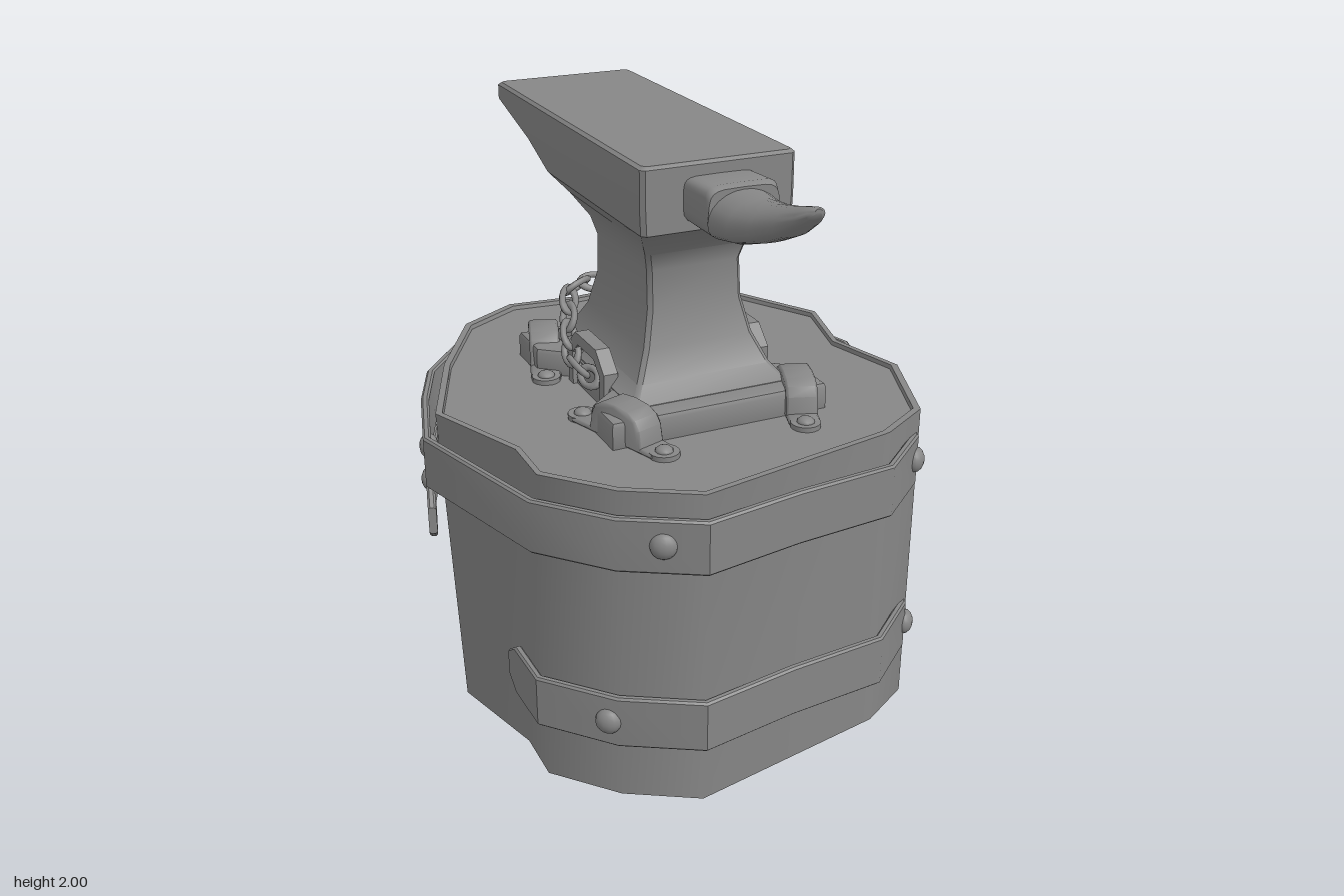
import * as THREE from 'three';
import { toCreasedNormals } from 'three/addons/utils/BufferGeometryUtils.js';

const V = (x, y, z) => new THREE.Vector3(x, y, z);
const material = new THREE.MeshStandardMaterial({ color: 0x868686, side: THREE.DoubleSide });

function add(parent, name, geometry, x = 0, y = 0, z = 0) {
  const mesh = new THREE.Mesh(geometry, material);
  mesh.name = name;
  mesh.position.set(x, y, z);
  parent.add(mesh);
  return mesh;
}

// Skin a row of equal-length loops, each counterclockwise about the direction of travel
function loft(loops, closed, crease) {
  const n = loops[0].length, m = loops.length, pts = loops.flat(), index = [];
  for (let i = 0; i < (closed ? m : m - 1); i++) {
    for (let j = 0; j < n; j++) {
      const k = (j + 1) % n, r = i * n, s = ((i + 1) % m) * n;
      index.push(r + j, r + k, s + k, r + j, s + k, s + j);
    }
  }
  if (!closed) {
    [0, m - 1].forEach((row) => {
      const centre = V(0, 0, 0);
      loops[row].forEach((p) => centre.addScaledVector(p, 1 / n));
      const c = pts.push(centre) - 1, r = row * n;
      for (let j = 0; j < n; j++) {
        const k = (j + 1) % n;
        index.push(c, r + (row ? j : k), r + (row ? k : j));
      }
    });
  }
  const g = new THREE.BufferGeometry().setFromPoints(pts);
  g.setIndex(index);
  return toCreasedNormals(g, crease);
}

// Plan outline of the stump, [x, z], counterclockwise from above
const stumpPlan = [
  [-0.82, -0.06], [-0.67, 0.3], [-0.67, 0.49], [-0.49, 0.69], [-0.26, 0.825], [0.46, 0.69],
  [0.65, 0.58], [0.785, 0.23], [0.71, -0.06], [0.785, -0.35], [0.58, -0.72], [0.27, -0.92],
  [0, -0.895], [-0.26, -0.92], [-0.48, -0.79], [-0.67, -0.45],
];

// Plan path shared by the iron bands, [x, z]
const bandPlan = [
  [-0.855, -0.06], [-0.69, 0.49], [-0.5, 0.7], [-0.26, 0.84], [0.08, 0.785], [0.43, 0.755],
  [0.62, 0.6], [0.84, 0.14], [0.79, -0.05], [0.835, -0.2], [0.75, -0.5], [0.58, -0.75],
  [0.3, -0.945], [0, -0.925], [-0.27, -0.945], [-0.5, -0.82], [-0.68, -0.6], [-0.77, -0.37],
];

// Flat iron strip on edge with chamfered rims; open strips get clipped ends
function band(plan, y, closed) {
  let rows = plan.map(([x, z]) => ({ p: V(x, y, z), h: 0.093 }));
  if (!closed) {
    const clip = (a, b) => {
      const p = a.p.clone().lerp(b.p, Math.min(0.8, 0.06 / a.p.distanceTo(b.p)));
      return { p, h: 0.093 };
    };
    const last = rows.length - 1;
    const head = clip(rows[0], rows[1]), tail = clip(rows[last], rows[last - 1]);
    rows[0].h = rows[last].h = 0.05;
    rows = [rows[0], head, ...rows.slice(1, last), tail, rows[last]];
  }
  const n = rows.length, up = V(0, 1, 0), c = 0.007, t = 0.014;
  return loft(rows.map(({ p, h }, i) => {
    const prev = rows[closed ? (i + n - 1) % n : Math.max(i - 1, 0)].p;
    const next = rows[closed ? (i + 1) % n : Math.min(i + 1, n - 1)].p;
    const side = next.clone().sub(prev).normalize().cross(up);
    return [[t, c - h], [t, h - c], [t - c, h], [c - t, h], [-t, h - c], [-t, c - h], [c - t, -h], [t - c, -h]]
      .map(([a, b]) => p.clone().addScaledVector(up, b).addScaledVector(side, a)).reverse();
  }).map((loop) => loop.reverse().map((_, j, all) => all[(all.length - j) % all.length])), closed, 0.6);
}

export function createModel() {
  const model = new THREE.Group();
  model.name = 'anvilOnStump';

  // Stump with a thin raised rim
  const ring = (y, s, minX = -1) => stumpPlan.map(([x, z]) => V(Math.max(x * s, minX), y, z * s));
  add(model, 'stump', loft([ring(0, 1, -0.775), ring(1.12, 1), ring(1.12, 0.972), ring(1.105, 0.968)], false, 1.1));

  // Iron bands: one full hoop and two part hoops
  add(model, 'topBand', band(bandPlan, 0.948, true));
  add(model, 'middleBand', band([[0.76, -0.05], ...bandPlan.slice(9), [-0.85, -0.08]], 0.715, false));
  add(model, 'lowerBand', band([[-0.695, 0.24], ...bandPlan.slice(1, 10), [0.805, -0.3]], 0.3, false));

  // Domed rivets, [x, z] for each band height
  const rivetRows = [
    [0.953, [[-0.38, 0.78], [0.62, 0.61], [0.755, -0.51], [0.37, -0.905], [-0.36, -0.905], [-0.82, -0.17]]],
    [0.725, [[0.83, -0.16], [0, -0.93], [-0.49, -0.83], [-0.77, -0.37]]],
    [0.3, [[-0.53, 0.685], [0.64, 0.59], [0.83, -0.16]]],
  ];
  const dome = new THREE.SphereGeometry(0.044, 14, 10).scale(1, 1, 0.75);
  rivetRows.forEach(([y, spots]) => spots.forEach(([x, z]) => {
    add(model, 'bandRivet', dome, x, y, z).lookAt(x * 2, y, z * 2);
  }));

  // Anvil body: chamfered rectangles [y, half width, front z, back z]
  const levels = [
    [1.1, 0.28, 0.36, -0.42], [1.2, 0.28, 0.34, -0.4], [1.25, 0.24, 0.285, -0.33],
    [1.35, 0.195, 0.24, -0.265], [1.47, 0.168, 0.21, -0.238], [1.6, 0.166, 0.2, -0.235],
    [1.66, 0.18, 0.22, -0.265], [1.72, 0.215, 0.28, -0.36], [1.775, 0.26, 0.37, -0.45],
    [1.85, 0.263, 0.37, -0.63], [1.93, 0.263, 0.37, -0.935], [1.98, 0.263, 0.37, -0.935],
    [1.99, 0.253, 0.36, -0.925],
  ];
  add(model, 'anvilBody', loft(levels.map(([y, w, f, b]) => {
    const c = 0.014;
    return [[w, f - c], [w, b + c], [w - c, b], [c - w, b], [-w, b + c], [-w, f - c], [c - w, f], [w - c, f]]
      .map(([x, z]) => V(x, y, z));
  }), false, 0.6));

  // Horn: round-bellied sections [z, top, bottom, half width, squareness of the upper half]
  const horn = [
    [0.35, 1.945, 1.785, 0.125, 0.3], [0.51, 1.955, 1.78, 0.122, 0.3], [0.53, 1.945, 1.782, 0.118, 0.4],
    [0.53, 1.938, 1.782, 0.122, 1], [0.62, 1.934, 1.797, 0.108, 1], [0.72, 1.945, 1.83, 0.09, 1],
    [0.82, 1.966, 1.875, 0.067, 1], [0.9, 1.987, 1.927, 0.047, 1], [0.94, 1.997, 1.96, 0.03, 1],
    [0.955, 1.995, 1.978, 0.012, 1],
  ];
  add(model, 'horn', loft(horn.map(([z, top, bottom, w, e]) => Array.from({ length: 24 }, (_, i) => {
    const a = (i / 24) * Math.PI * 2, c = Math.cos(a), s = Math.sin(a);
    const belly = bottom + 0.4 * (top - bottom), p = s > 0 ? e : 0.8;
    const pow = (v) => Math.sign(v) * Math.abs(v) ** p;
    return V(w * pow(c), belly + (s > 0 ? top - belly : belly - bottom) * pow(s), z);
  })), false, 0.8));

  // Footed base plate with a notch in each side
  const half = [[0.385, 0.41], [0.385, 0.24], [0.29, 0.16], [0.29, -0.19], [0.385, -0.27], [0.385, -0.45]];
  const outline = [...half, ...half.map(([x, z]) => [-x, z]).reverse()];
  const baseShape = new THREE.Shape(outline.map(([x, z]) => new THREE.Vector2(x, -z)));
  const baseGeo = new THREE.ExtrudeGeometry(baseShape, {
    depth: 0.08, bevelThickness: 0.018, bevelSize: 0.018, bevelOffset: -0.018, bevelSegments: 2,
  }).rotateX(-Math.PI / 2);
  add(model, 'basePlate', toCreasedNormals(baseGeo, 0.7), 0, 1.1, 0);

  // Clamp over each foot: humped strap with a round bolted tab at both ends
  const strapShape = new THREE.Shape([
    [0, 0], [0.39, 0], [0.39, 0.018], [0.335, 0.02], [0.325, 0.075], [0.305, 0.105], [0.27, 0.122],
    [0.21, 0.128], [0.15, 0.122], [0.115, 0.1], [0.1, 0.07], [0.09, 0.02], [0, 0.018],
  ].map(([x, y]) => new THREE.Vector2(x, y)));
  const strapGeo = toCreasedNormals(new THREE.ExtrudeGeometry(strapShape, {
    depth: 0.09, bevelThickness: 0.008, bevelSize: 0.008, bevelOffset: -0.008, bevelSegments: 1,
  }).translate(0, 0, -0.045), 0.8);
  const tabGeo = new THREE.CylinderGeometry(0.05, 0.05, 0.018, 16);
  const boltGeo = new THREE.SphereGeometry(0.03, 12, 8).scale(1, 0.6, 1);
  for (const sx of [1, -1]) {
    for (const [z0, z1] of [[0.14, 0.51], [-0.2, -0.57]]) {
      const clamp = new THREE.Group();
      clamp.name = 'footClamp';
      clamp.position.set(sx * 0.378, 1.104, z0);
      clamp.rotation.y = Math.atan2(z0 - z1, sx * -0.125);
      add(clamp, 'clampStrap', strapGeo);
      for (const x of [0, 0.39]) {
        add(clamp, 'clampTab', tabGeo, x, 0.009, 0);
        add(clamp, 'clampBolt', boltGeo, x, 0.018, 0);
      }
      model.add(clamp);
    }

    // Upright arch that holds the chain
    const arch = new THREE.Shape([
      [-0.16, 0], [-0.12, 0], [-0.12, 0.12], [-0.07, 0.165], [0.07, 0.165], [0.12, 0.12], [0.12, 0],
      [0.16, 0], [0.16, 0.14], [0.09, 0.205], [-0.09, 0.205], [-0.16, 0.14],
    ].map(([x, y]) => new THREE.Vector2(x, y)));
    const archGeo = new THREE.ExtrudeGeometry(arch, { depth: 0.05, bevelEnabled: false })
      .translate(0, 0, -0.025).rotateY(Math.PI / 2);
    add(model, 'chainArch', archGeo, sx * 0.28, 1.104, -0.01);
  }

  // Chain from one arch, around the back of the waist, to the other
  const side = [[0.3, 1.185, 0.01], [0.315, 1.21, -0.09], [0.285, 1.3, -0.21], [0.22, 1.385, -0.315]];
  const path = new THREE.CatmullRomCurve3([
    ...side.map(([x, y, z]) => V(x, y, z)), V(0, 1.375, -0.325),
    ...side.map(([x, y, z]) => V(-x, y, z)).reverse(),
  ]);
  const linkGeo = new THREE.TorusGeometry(0.029, 0.0115, 8, 16).scale(1, 1.6, 1).rotateX(Math.PI / 2);
  const links = 18;
  for (let i = 0; i <= links; i++) {
    const p = path.getPointAt(i / links);
    const link = add(model, 'chainLink', linkGeo, p.x, p.y, p.z);
    link.lookAt(p.clone().add(path.getTangentAt(i / links)));
    link.rotateZ(Math.PI / 4 + (i * Math.PI) / 2);
  }
  return model;
}
